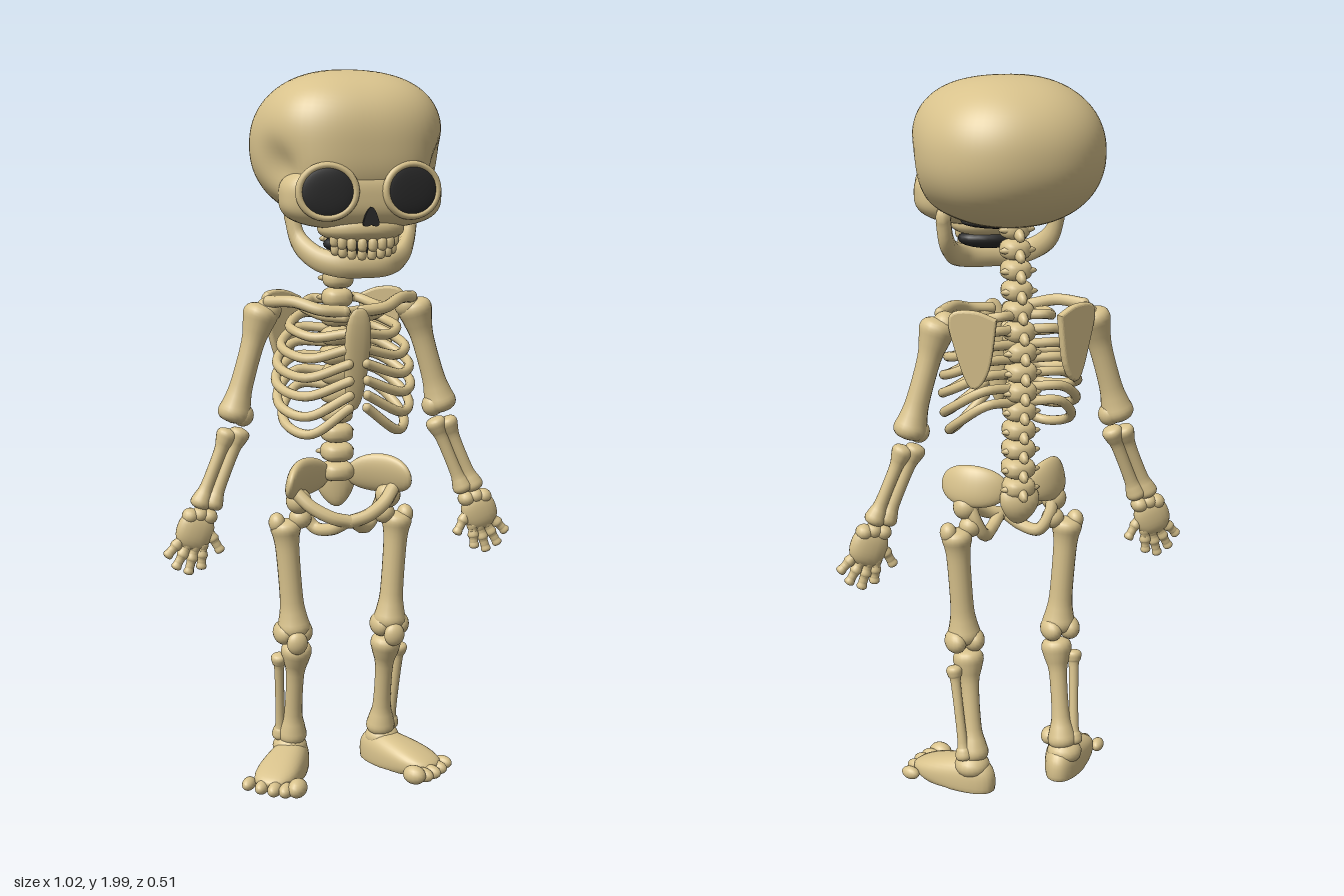
import * as THREE from 'three';
import { mergeVertices } from 'three/addons/utils/BufferGeometryUtils.js';

const bone = new THREE.MeshStandardMaterial({ color: 0xd8c28c });
bone.name = 'bone';
const dark = new THREE.MeshStandardMaterial({ color: 0x2a2a2a });
dark.name = 'socketDark';

const V = (x, y, z) => new THREE.Vector3(x, y, z);
const UP = V(0, 1, 0);

export function createModel() {
  const root = new THREE.Group();
  root.name = 'skeleton';

  const add = (parent, name, geo, mat = bone) => {
    const m = new THREE.Mesh(geo, mat);
    m.name = name;
    parent.add(m);
    return m;
  };
  const group = (name) => {
    const g = new THREE.Group();
    g.name = name;
    root.add(g);
    return g;
  };

  // Rounded block: a sphere pushed towards a box by power p, then an optional rule
  function blob(parent, name, c, r, { p = 2, rule, seg = 20, mat = bone } = {}) {
    let g = new THREE.SphereGeometry(1, seg, Math.round(seg * 0.7));
    g.deleteAttribute('uv');
    g.deleteAttribute('normal');
    g = mergeVertices(g, 1e-5);
    const a = g.attributes.position;
    const v = V(0, 0, 0);
    for (let i = 0; i < a.count; i++) {
      v.fromBufferAttribute(a, i);
      const q = typeof p === 'function' ? p(v) : p;
      const n = Math.abs(v.x) ** q + Math.abs(v.y) ** q + Math.abs(v.z) ** q;
      v.multiplyScalar(n ** (-1 / q)).multiply(r);
      if (rule) rule(v);
      a.setXYZ(i, v.x, v.y, v.z);
    }
    g.computeVertexNormals();
    const m = add(parent, name, g, mat);
    m.position.copy(c);
    return m;
  }

  // Long bone from a to b: shaft radius r, knob radii e1 and e2
  function longBone(parent, name, a, b, r, e1, e2, seg = 18) {
    const L = a.distanceTo(b);
    const profile = [
      [0, -e1 * 0.65], [e1 * 0.75, -e1 * 0.45], [e1, 0], [e1 * 0.85, e1 * 0.7],
      [r, Math.min(e1 * 1.8, L * 0.4)], [r, L - Math.min(e2 * 1.8, L * 0.4)],
      [e2 * 0.85, L - e2 * 0.7], [e2, L], [e2 * 0.75, L + e2 * 0.45], [0, L + e2 * 0.65],
    ].map(([x, y]) => new THREE.Vector2(x, y));
    const pts = new THREE.SplineCurve(profile).getPoints(32);
    pts.forEach((q) => { q.x = Math.max(q.x, 0); });
    const m = add(parent, name, new THREE.LatheGeometry(pts, seg));
    m.position.copy(a);
    m.quaternion.setFromUnitVectors(UP, b.clone().sub(a).normalize());
    return m;
  }

  // Curved bone with rounded ends
  function curved(parent, name, pts, r, yScale = 1, seg = 28) {
    const flat = pts.map((q) => V(q.x, q.y / yScale, q.z));
    const g = new THREE.TubeGeometry(new THREE.CatmullRomCurve3(flat), seg, r, 10);
    g.scale(1, yScale, 1);
    add(parent, name, g);
    for (const q of [pts[0], pts[pts.length - 1]]) {
      blob(parent, name + 'End', q, V(r, r * yScale, r), { seg: 10 });
    }
  }

  // ---- Skull ----
  const skull = group('skull');
  blob(skull, 'cranium', V(0, 1.8, 0), V(0.253, 0.2, 0.25), {
    seg: 72,
    p: (v) => 2.2 + 0.5 * THREE.MathUtils.smoothstep(v.z, -0.3, 0.7),
    rule: (v) => { // hollow temples
      const k = 0.035 * Math.exp(-(((v.z - 0.14) / 0.06) ** 2) - (((v.y + 0.05) / 0.06) ** 2));
      v.x -= Math.sign(v.x) * k * THREE.MathUtils.smoothstep(Math.abs(v.x), 0.1, 0.2);
    },
  });
  blob(skull, 'face', V(0, 1.675, 0.15), V(0.217, 0.085, 0.098), { p: 2.9, seg: 56 });
  blob(skull, 'upperJaw', V(0, 1.592, 0.155), V(0.115, 0.036, 0.08), { p: 2.5, seg: 28 });
  blob(skull, 'skullOpening', V(0, 1.61, 0.05), V(0.12, 0.02, 0.085), { mat: dark });
  blob(skull, 'mouthInside', V(0, 1.55, 0.145), V(0.1, 0.03, 0.055), { mat: dark });
  for (const s of [1, -1]) {
    const eye = new THREE.Group();
    eye.name = 'eyeSocket';
    eye.position.set(0.114 * s, 1.692, 0.238);
    eye.rotation.y = 0.13 * s;
    skull.add(eye);
    blob(eye, 'socketDark', V(0, 0, 0), V(0.073, 0.066, 0.013), { p: 2.2, seg: 36, mat: dark });
    const rim = add(eye, 'socketRim', new THREE.TorusGeometry(0.074, 0.01, 10, 40));
    rim.scale.set(1, 0.91, 1);
  }
  const nose = new THREE.Shape();
  nose.moveTo(0, 0.03);
  nose.quadraticCurveTo(0.012, 0.028, 0.022, -0.012);
  nose.quadraticCurveTo(0.02, -0.026, 0, -0.016);
  nose.quadraticCurveTo(-0.02, -0.026, -0.022, -0.012);
  nose.quadraticCurveTo(-0.012, 0.028, 0, 0.03);
  add(skull, 'noseOpening', new THREE.ExtrudeGeometry(nose, { depth: 0.009, bevelEnabled: false }), dark)
    .position.set(0, 1.622, 0.243);

  // Lower jaw and two curved rows of teeth
  const half = [[0.165, 1.62, 0.07], [0.153, 1.56, 0.085], [0.118, 1.515, 0.135], [0.065, 1.497, 0.172]];
  curved(skull, 'lowerJaw', [
    ...half.map(([x, y, z]) => V(x, y, z)), V(0, 1.494, 0.18),
    ...half.reverse().map(([x, y, z]) => V(-x, y, z)),
  ], 0.021, 1.6, 48);
  for (let i = -4; i < 4; i++) {
    const t = (i + 0.5) / 4;
    const x = 0.092 * Math.sin(t * 1.25);
    const z = 0.16 + 0.052 * Math.cos(t * 1.3);
    const lift = 0.016 * t * t;
    blob(skull, 'upperTooth', V(x, 1.551 + lift, z + 0.006), V(0.0125, 0.018, 0.012), { p: 2.8, seg: 12 });
    blob(skull, 'lowerTooth', V(x * 0.95, 1.527 + lift, z), V(0.0115, 0.016, 0.012), { p: 2.8, seg: 12 });
  }

  // ---- Spine ----
  const spine = group('spine');
  const spinePath = new THREE.CatmullRomCurve3([
    V(0, 1.6, -0.04), V(0, 1.42, -0.062), V(0, 1.25, -0.09), V(0, 1.08, -0.078), V(0, 0.89, -0.07),
  ]);
  for (let i = 0; i < 14; i++) {
    const q = spinePath.getPointAt(i / 13);
    const w = 0.04 + 0.006 * (i / 13);
    blob(spine, 'vertebra', q, V(w, 0.028, w), { p: 2.8, seg: 20 });
    const spike = blob(spine, 'spinousProcess', V(0, q.y - 0.012, q.z - 0.038), V(0.014, 0.017, 0.03), { seg: 12 });
    spike.rotation.x = -0.4;
    blob(spine, 'sideProcess', V(0, q.y, q.z - 0.02), V(w + 0.012, 0.013, 0.016), { seg: 12 });
  }
  blob(spine, 'sacrum', V(0, 0.845, -0.085), V(0.055, 0.06, 0.03), {
    rule: (v) => { v.x *= 1 + v.y * 5; v.z -= v.y * v.y * -3; },
  });

  // ---- Rib cage ----
  const ribs = group('ribCage');
  blob(ribs, 'breastbone', V(0, 1.235, 0.12), V(0.034, 0.145, 0.016), {
    p: 2.6, rule: (v) => { v.x *= 1 + v.y * 1.5; },
  }).rotation.x = 0.2;
  const ribTable = [ // half width, back y, side y, front y, front z
    [0.105, 1.375, 1.35, 1.345, 0.09], [0.145, 1.335, 1.295, 1.305, 0.107],
    [0.17, 1.295, 1.24, 1.265, 0.122], [0.182, 1.255, 1.19, 1.225, 0.132],
    [0.186, 1.215, 1.14, 1.18, 0.138], [0.182, 1.175, 1.085, 1.14, 0.14],
    [0.168, 1.135, 1.035, 1.105, 0.135],
  ];

  for (const s of [1, -1]) {
    const P = (x, y, z) => V(x * s, y, z);
    const side = s > 0 ? 'left' : 'right';

    for (const [w, yb, ys, yf, zf] of ribTable) {
      curved(ribs, side + 'Rib', [
        P(0.02, yb, -0.09), P(w * 0.6, yb + 0.002, -0.108), P(w * 0.96, (yb + ys) / 2, -0.055),
        P(w, ys + 0.01, 0.02), P(w * 0.72, ys - 0.002, zf - 0.035), P(0.025, yf, zf),
      ], 0.0135);
    }

    // ---- Shoulder ----
    const shoulder = group(side + 'Shoulder');
    curved(shoulder, 'collarbone', [
      P(0.025, 1.362, 0.09), P(0.09, 1.368, 0.08), P(0.15, 1.386, 0.03), P(0.205, 1.382, -0.03),
    ], 0.0165);
    const outline = new THREE.SplineCurve(
      [[-0.055, 0.07], [0, 0.09], [0.058, 0.08], [0.045, 0], [0.005, -0.105], [-0.035, -0.06]]
        .map(([x, y]) => new THREE.Vector2(x * s, y)).concat(new THREE.Vector2(-0.055 * s, 0.07)));
    const blade = add(shoulder, 'shoulderBlade', new THREE.ExtrudeGeometry(
      new THREE.Shape(outline.getPoints(30).slice(0, -1)),
      { depth: 0.008, bevelThickness: 0.007, bevelSize: 0.007, bevelSegments: 3 }));
    blade.position.copy(P(0.145, 1.305, -0.13));
    blade.rotation.y = -0.4 * s;

    // ---- Arm ----
    const arm = group(side + 'Arm');
    longBone(arm, 'upperArm', P(0.222, 1.345, -0.055), P(0.3, 1.075, -0.052), 0.032, 0.049, 0.046);
    blob(arm, 'shoulderBall', P(0.2, 1.355, -0.055), V(0.036, 0.036, 0.038));
    blob(arm, 'elbowInner', P(0.276, 1.068, -0.05), V(0.03, 0.032, 0.034));
    longBone(arm, 'outerForearm', P(0.322, 1.015, -0.05), P(0.4, 0.83, -0.042), 0.018, 0.029, 0.029);
    longBone(arm, 'innerForearm', P(0.287, 1.015, -0.05), P(0.366, 0.825, -0.04), 0.018, 0.029, 0.028);

    // ---- Hand ----
    const hand = group(side + 'Hand');
    const palm = blob(hand, 'palm', P(0.418, 0.752, -0.038), V(0.052, 0.055, 0.026), { p: 2.4 });
    palm.rotation.z = 0.35 * s;
    for (const [x, y] of [[0.378, 0.79], [0.405, 0.797], [0.43, 0.795]]) {
      blob(hand, 'wristBone', P(x, y, -0.039), V(0.024, 0.022, 0.028), { seg: 14 });
    }
    const fingers = [ // knuckle to tip
      [0.45, 0.738, 0.496, 0.69], [0.437, 0.718, 0.473, 0.655],
      [0.418, 0.71, 0.439, 0.638], [0.398, 0.712, 0.403, 0.65], [0.386, 0.76, 0.35, 0.694],
    ];
    for (const [x1, y1, x2, y2] of fingers) {
      const a = P(x1, y1, -0.037);
      const b = P(x2, y2, -0.033);
      const mid = a.clone().lerp(b, 0.5);
      longBone(hand, 'fingerBase', a, mid, 0.0135, 0.0175, 0.0165, 12);
      longBone(hand, 'fingerTip', mid, b, 0.0125, 0.015, 0.0145, 12);
    }

    // ---- Hip ----
    const hip = group(side + 'Hip');
    const wing = blob(hip, 'hipWing', P(0.112, 0.885, -0.012), V(0.1, 0.058, 0.024), {
      p: 2.2, seg: 28, rule: (v) => { v.z += v.x * v.x * 2.5 - 0.008; },
    });
    wing.rotation.set(0.3, -0.7 * s, 0.22 * s);
    curved(hip, 'pubis', [P(0.14, 0.85, 0.015), P(0.105, 0.815, 0.04), P(0.05, 0.785, 0.06), P(0, 0.772, 0.062)], 0.019);
    curved(hip, 'sitBone', [
      P(0.125, 0.85, -0.01), P(0.11, 0.79, -0.03), P(0.08, 0.742, -0.02), P(0.045, 0.745, 0.025), P(0.012, 0.77, 0.058),
    ], 0.018);
    blob(hip, 'hipSocket', P(0.13, 0.825, -0.005), V(0.036, 0.036, 0.036));

    // ---- Leg ----
    const leg = group(side + 'Leg');
    longBone(leg, 'thigh', P(0.163, 0.745, -0.025), P(0.142, 0.455, -0.02), 0.033, 0.043, 0.047);
    blob(leg, 'hipBall', P(0.122, 0.772, -0.02), V(0.032, 0.03, 0.032));
    blob(leg, 'hipKnob', P(0.188, 0.762, -0.025), V(0.023, 0.028, 0.028));
    for (const x of [0.117, 0.17]) {
      blob(leg, 'kneeKnob', P(x, 0.44, -0.028), V(0.03, 0.034, 0.045));
    }
    blob(leg, 'kneecap', P(0.143, 0.42, 0.022), V(0.03, 0.033, 0.02));
    longBone(leg, 'shin', P(0.133, 0.385, -0.028), P(0.134, 0.115, -0.078), 0.026, 0.044, 0.042);
    longBone(leg, 'outerShin', P(0.18, 0.36, -0.045), P(0.166, 0.115, -0.088), 0.014, 0.023, 0.025);

    // ---- Foot ----
    const foot = group(side + 'Foot');
    const turn = 0.6 * s;
    blob(foot, 'footBody', P(0.172, 0, -0.022), V(0.062, 0.07, 0.135), {
      p: 2.5, seg: 32,
      rule: (v) => {
        const t = v.z / 0.135;
        v.x *= 0.98 + 0.2 * t;
        v.y = Math.max(0.008, 0.035 + v.y * (0.8 - 0.4 * t));
      },
    }).rotation.y = turn;
    blob(foot, 'ankle', P(0.14, 0.08, -0.082), V(0.05, 0.036, 0.05));
    for (let i = 0; i < 5; i++) {
      const t = i / 4;
      const r = i === 0 ? 0.027 : 0.0215 - 0.003 * t;
      const q = P(0.172 + 0.118 * t, r + 0.006, 0.125 - 0.09 * t + 0.02 * Math.sin(t * Math.PI));
      blob(foot, 'toe', q, V(r, r, 0.036 - 0.007 * t), { seg: 16 }).rotation.y = turn;
    }
  }
  return root;
}
